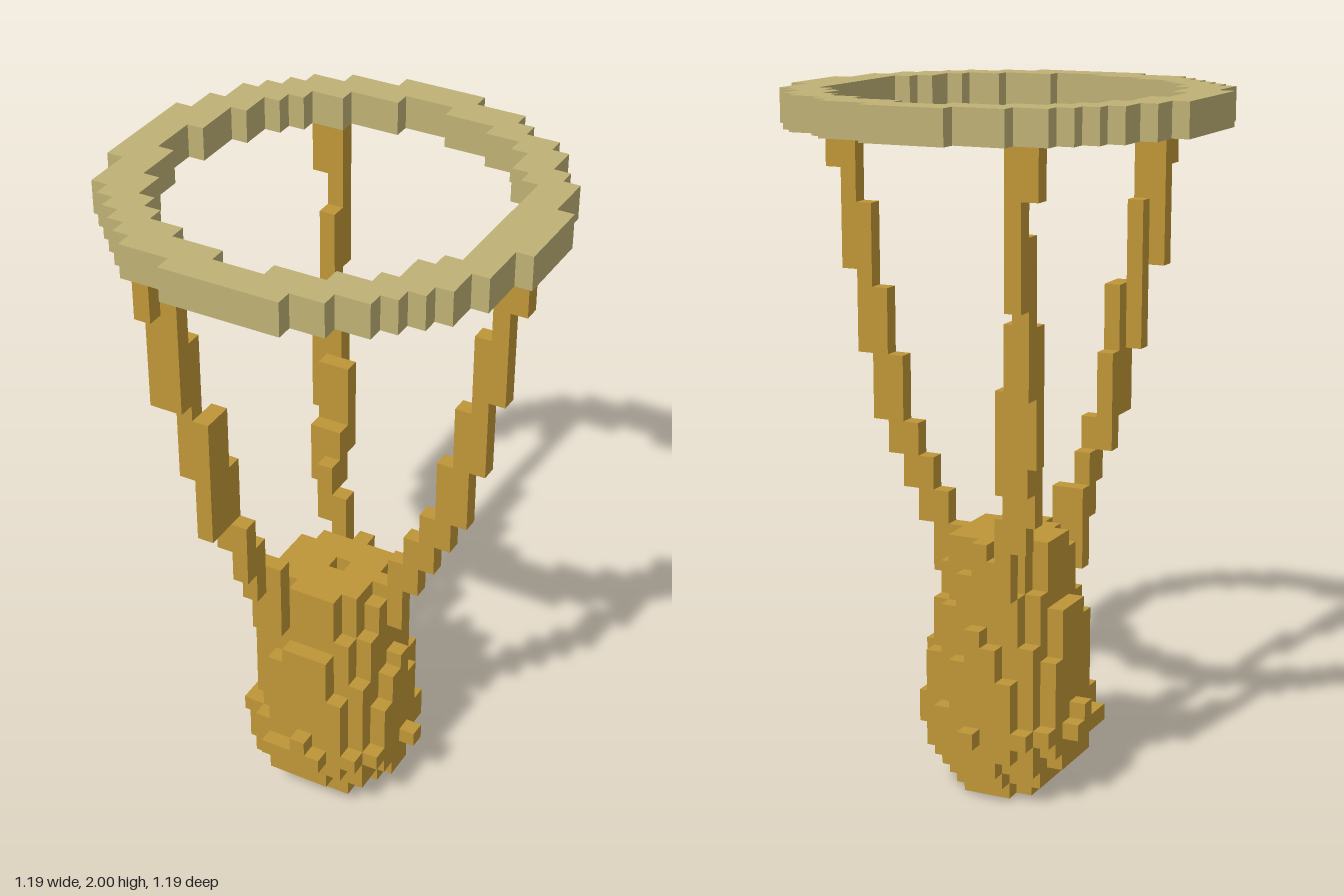
import * as THREE from 'three';

const S = 2 / 42; // edge of one cube: 42 layers high, 25 x 25 in plan
const N = 12;

// Turns a rule (i, layer, k) => filled into the outer skin of a block of cubes
function voxelGeometry(filled, from, to) {
  const inside = (p) => p[1] >= from && p[1] < to && filled(p[0], p[1], p[2]);
  const pos = [];
  for (let y = from; y < to; y++)
    for (let i = -N; i <= N; i++)
      for (let k = -N; k <= N; k++) {
        const c = [i, y, k];
        if (!inside(c)) continue;
        for (let a = 0; a < 3; a++)
          for (const d of [-1, 1]) {
            const next = c.slice();
            next[a] += d;
            if (inside(next)) continue;
            const u = (a + 1) % 3, v = (a + 2) % 3;
            const corner = (su, sv) => {
              const q = [i, y + 0.5, k];
              q[a] += d * 0.5;
              q[u] += su * 0.5 * d;
              q[v] += sv * 0.5;
              return q.map((n) => n * S);
            };
            const [A, B, C, D] = [corner(-1, -1), corner(1, -1), corner(1, 1), corner(-1, 1)];
            pos.push(...A, ...B, ...C, ...A, ...C, ...D);
          }
      }
  const g = new THREE.BufferGeometry();
  g.setAttribute('position', new THREE.Float32BufferAttribute(pos, 3));
  g.computeVertexNormals();
  return g;
}

export function createModel() {
  const model = new THREE.Group();
  const gold = new THREE.MeshStandardMaterial({ color: 0xbe9637 });
  gold.name = 'gold';
  const paleBrass = new THREE.MeshStandardMaterial({ color: 0xbeb074 });
  paleBrass.name = 'pale brass';
  const add = (name, material, from, to, rule) => {
    const mesh = new THREE.Mesh(voxelGeometry(rule, from, to), material);
    mesh.name = name;
    model.add(mesh);
  };

  // Rounded body: squared radius of each layer, with a small hole in the top
  const r2 = [7.5, 13, 19, 22.3, 27.1, 23.2, 22.2, 21.5, 20.5, 19, 17.8, 16, 14.4, 12.5, 11.5, 10.4];
  add('body', gold, 0, r2.length, (i, y, k) =>
    (i + 0.2) ** 2 + (k - 0.2) ** 2 <= r2[y] && !(y === 15 && i === 0 && k === 0));

  // Three arms curving outward: bottom and top layer for each step of radius 4..11
  const steps = [[13, 18], [16, 20], [18, 22], [20, 26], [22, 30], [26, 35], [31, 40], [37, 40]];
  ['leftArm', 'rightFrontArm', 'rightBackArm'].forEach((name, n) => {
    const c = Math.cos((n * 2 * Math.PI) / 3), s = Math.sin((n * 2 * Math.PI) / 3);
    add(name, gold, 13, 40, (i, y, k) => {
      const x = i + 0.2, z = k - 0.2;
      const out = x * c + z * s, across = Math.abs(z * c - x * s);
      return across < 0.7 && steps.some(([lo, hi], j) =>
        y >= lo && y < hi && out >= j + 3.7 && out < j + 4.7);
    });
  });

  // Flat ring on top of the arms
  add('topRing', paleBrass, 40, 42, (i, y, k) =>
    Math.abs(i) <= N && Math.abs(k) <= N &&
    (i + 0.15) ** 2 + (k - 0.15) ** 2 <= 154 && (i + 0.1) ** 2 + k * k > 101.5);

  return model;
}
